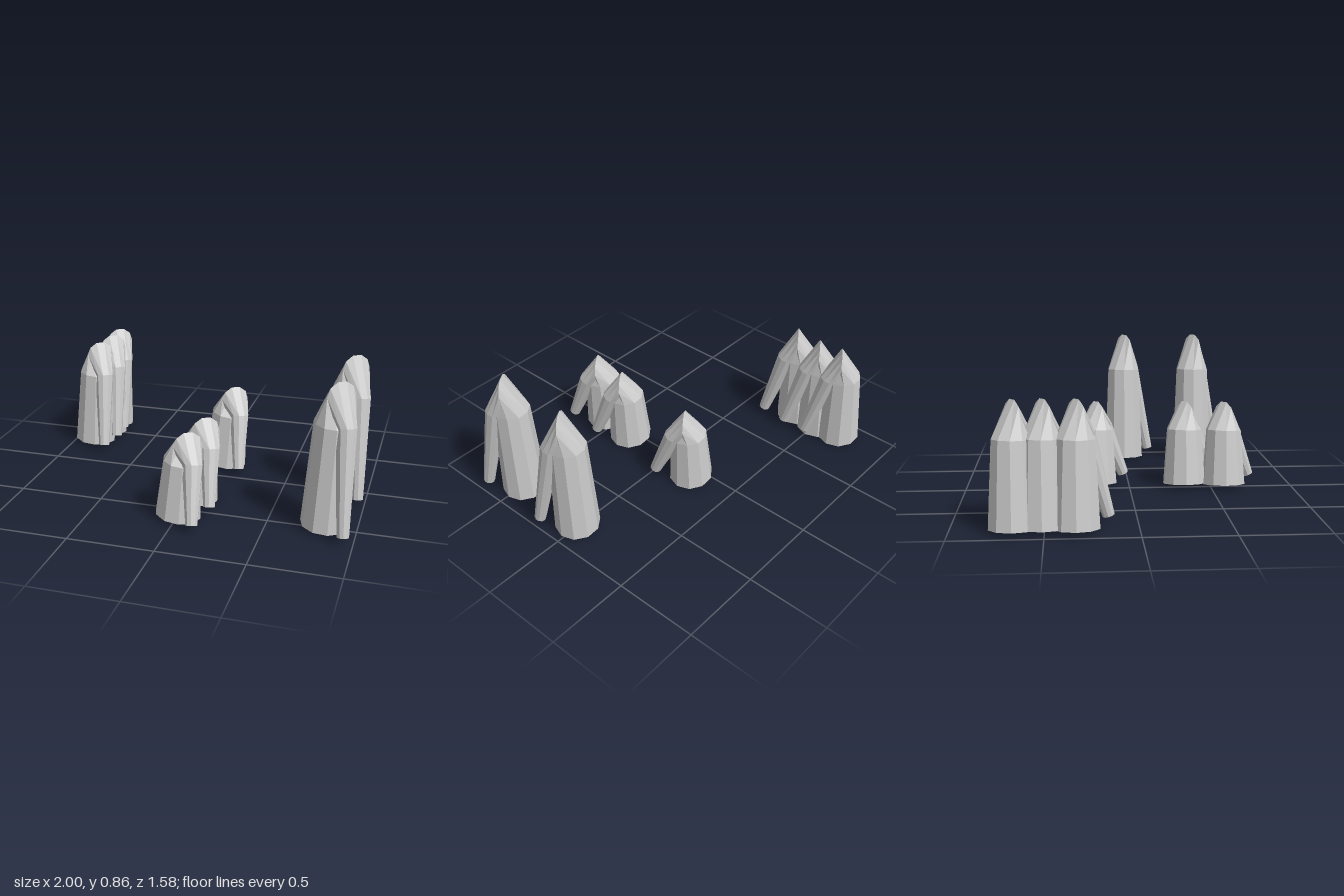
import * as THREE from 'three';

const SIDES = 10;
const material = new THREE.MeshStandardMaterial({ color: 0xcccccc, flatShading: true });

// Hooked spike: a tapering ten-sided tube that rises, folds over and comes back down to a thin tip
function hookGeometry(h) {
  const sections = [ // centre, tangent, radius
    { c: [0, 0.015, 0], t: [0.03, 0.5 * h, 0], r: 0.132 },
    { c: [0.027, 0.8 * h, 0], t: [0.04, 0.8 * h, 0.01], r: 0.107 },
    { c: [0.062, h, 0.007], t: [0.05, 0, 0.075], r: 0.083 },
    { c: [0.1, 0.8 * h, 0.05], t: [0.03, -0.8 * h, 0.11], r: 0.059 },
    { c: [0.13, 0.043, 0.175], t: [0.03, -0.8 * h, 0.14], r: 0.034 },
  ];
  const pos = [], index = [];
  const last = new THREE.Vector3(0, 1, 0), u = new THREE.Vector3(-1, 0, 0);
  const q = new THREE.Quaternion(), v = new THREE.Vector3(), p = new THREE.Vector3();
  for (const s of sections) {
    // carry the ring's frame along the bend without twist
    const t = new THREE.Vector3(...s.t).normalize();
    u.applyQuaternion(q.setFromUnitVectors(last, t));
    v.crossVectors(t, u);
    last.copy(t);
    for (let j = 0; j < SIDES; j++) {
      const a = (j / SIDES) * Math.PI * 2;
      p.set(...s.c).addScaledVector(u, s.r * Math.cos(a)).addScaledVector(v, s.r * Math.sin(a));
      pos.push(p.x, p.y, p.z);
    }
  }
  // side faces
  for (let i = 0; i < sections.length - 1; i++) {
    for (let j = 0; j < SIDES; j++) {
      const a = i * SIDES + j, b = i * SIDES + (j + 1) % SIDES;
      index.push(a, b, a + SIDES, b, b + SIDES, a + SIDES);
    }
  }
  // base and tip caps
  const end = (sections.length - 1) * SIDES;
  for (let j = 1; j < SIDES - 1; j++) {
    index.push(0, j + 1, j, end, end + j, end + j + 1);
  }
  const g = new THREE.BufferGeometry();
  g.setAttribute('position', new THREE.Float32BufferAttribute(pos, 3));
  g.setIndex(index);
  const flat = g.toNonIndexed();
  flat.computeVertexNormals();
  return flat;
}

export function createModel() {
  const model = new THREE.Group();
  model.name = 'hookedSpikes';

  // three clusters, each with one height and a list of [x, z] positions
  const clusters = [
    { name: 'tallSpike', h: 0.777, at: [[0.83, 0.01], [0.815, 0.485]] },
    { name: 'middleSpike', h: 0.607, at: [[-0.86, -0.665], [-0.85, -0.51], [-0.87, -0.335]] },
    { name: 'shortSpike', h: 0.437, at: [[0.07, -0.205], [0.035, 0.34], [0.002, 0.58]] },
  ];
  for (const { name, h, at } of clusters) {
    const geometry = hookGeometry(h);
    at.forEach(([x, z], i) => {
      const spike = new THREE.Mesh(geometry, material);
      spike.name = name + (i + 1);
      spike.position.set(x, 0, z);
      model.add(spike);
    });
  }
  return model;
}
